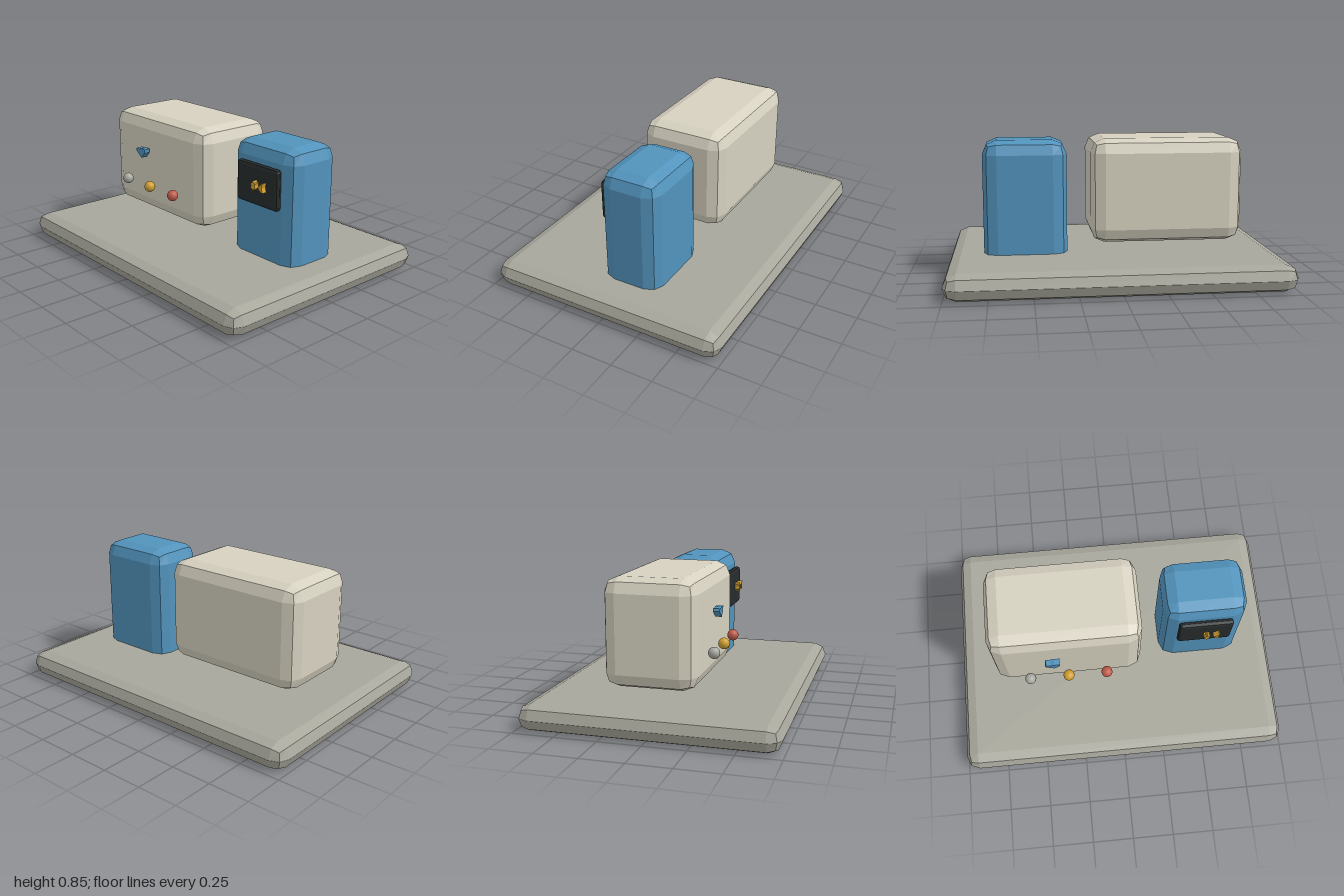
import * as THREE from 'three';
import { RoundedBoxGeometry } from 'three/addons/geometries/RoundedBoxGeometry.js';

const material = (name, color) => {
  const m = new THREE.MeshStandardMaterial({ color });
  m.name = name;
  return m;
};

export function createModel() {
  const group = new THREE.Group();
  const grey = material('warm grey', 0xa8a79c);
  const cream = material('cream', 0xd6d1c0);
  const blue = material('blue', 0x5293bc);
  const black = material('black', 0x272c2c);
  const yellow = material('yellow', 0xd2a032);
  const silver = material('silver', 0xa9a9a2);
  const red = material('red', 0xc05c4c);

  const add = (name, geometry, mat, x = 0, y = 0, z = 0) => {
    const mesh = new THREE.Mesh(geometry, mat);
    mesh.name = name;
    mesh.position.set(x, y, z);
    group.add(mesh);
  };

  // Faceted box with two-step bevels, given by its min and max corners
  const bevelBox = (name, mat, [x0, y0, z0], [x1, y1, z1], radius) => {
    const g = new RoundedBoxGeometry(x1 - x0, y1 - y0, z1 - z0, 1, radius);
    g.computeVertexNormals();
    add(name, g, mat, (x0 + x1) / 2, (y0 + y1) / 2, (z0 + z1) / 2);
  };

  // Flat badge extruded from an outline
  const badge = (name, mat, points, x, y, z, depth) => {
    const shape = new THREE.Shape(points.map(([px, py]) => new THREE.Vector2(px, py)));
    add(name, new THREE.ExtrudeGeometry(shape, { depth, bevelEnabled: false }), mat, x, y, z);
  };

  // Main bodies
  bevelBox('basePlate', grey, [-1, 0, -0.737], [1, 0.157, 0.737], 0.078);
  bevelBox('mainCabinet', cream, [-0.765, 0.22, -0.312], [0.15, 0.845, 0.225], 0.085);
  bevelBox('sideTower', blue, [0.285, 0.04, -0.25], [0.785, 0.835, 0.113], 0.085);
  bevelBox('screen', black, [0.37, 0.48, 0.11], [0.7, 0.725, 0.154], 0.021);

  // Row of floating buttons
  [['leftButton', silver, -0.543], ['middleButton', yellow, -0.307], ['rightButton', red, -0.073]]
    .forEach(([name, mat, x]) => add(name, new THREE.SphereGeometry(0.034, 20, 14), mat, x, 0.412, 0.278));

  // Angular blue emblem in front of the cabinet
  badge('emblem', blue, [[-0.045, 0.008], [-0.04, 0.023], [-0.012, 0.021], [0.008, 0.028],
    [0.042, 0.026], [0.04, 0.002], [0.008, -0.033], [-0.03, -0.006]], -0.392, 0.618, 0.243, 0.039);

  // Small screen symbols: a notched blob and a wedge
  const blob = [];
  for (let i = 0; i < 12; i++) {
    const a = (i / 12) * Math.PI * 2, r = i % 2 ? 0.021 : 0.03;
    blob.push([Math.sin(a) * r * 0.68, Math.cos(a) * r]);
  }
  badge('screenBlob', yellow, blob, 0.54, 0.607, 0.15, 0.035);
  badge('screenWedge', yellow, [[-0.02, 0.002], [0.012, 0.031], [0.017, 0.03], [0.01, 0.003],
    [0.018, -0.026], [0.004, -0.024], [-0.01, -0.013]], 0.6, 0.607, 0.15, 0.035);

  return group;
}
